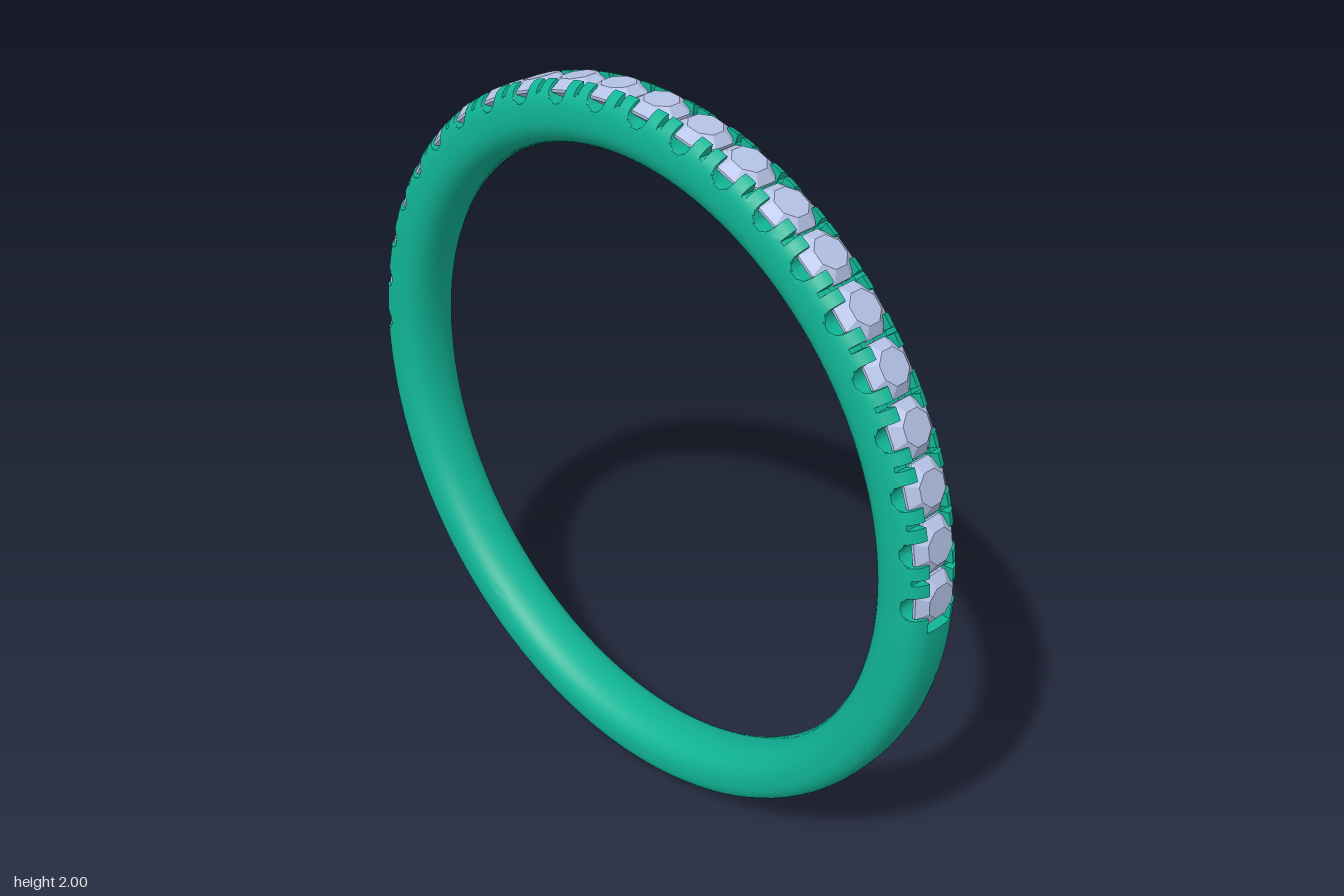
import * as THREE from 'three';
import { toCreasedNormals } from 'three/addons/utils/BufferGeometryUtils.js';

const GEMS = 22;
const PITCH = THREE.MathUtils.degToRad(8.34);
const LIMIT = (GEMS / 2) * PITCH;   // half angle of the set part, from the top
const HALF_WIDTH = 0.088;
const CHANNEL = 0.04;               // half width of the slot the stones sit in
const SCALLOP = 0.031;              // radius of the side cutouts
const GROOVE = 0.006;               // half width of the slit between prongs

// Angles of the cross-sections: fine around each stone, even on the plain part
function sectionAngles() {
  const half = [];
  for (let k = 0; k <= 5; k++) half.push(SCALLOP * Math.sin((k / 5) * Math.PI / 2));
  half.push(SCALLOP + 0.0008, 0.05, PITCH / 2 - GROOVE - 0.001, PITCH / 2 - GROOVE);
  const offsets = [-PITCH / 2, ...half.slice(1).reverse().map(t => -t), ...half];
  const angles = [];
  for (let g = 0; g < GEMS; g++) {
    const centre = (g - (GEMS - 1) / 2) * PITCH;
    for (const t of offsets) angles.push(centre + t);
  }
  angles.push(LIMIT);
  const start = LIMIT + 0.001, span = 2 * Math.PI - 2 * start;
  for (let k = 0; k <= 72; k++) angles.push(start + (span * k) / 72);
  return angles;
}

// Height to which the outside of the band is cut down
function cutHeight(a, z) {
  if (Math.abs(a) > LIMIT + 1e-6) return 2;
  if (Math.abs(z) < CHANNEL) return 0.93;
  const cell = a / PITCH + GEMS / 2;
  const t = (cell - Math.floor(cell) - 0.5) * PITCH;
  if (Math.abs(t) <= SCALLOP + 1e-5) {
    return 0.978 - Math.sqrt(Math.max(0, SCALLOP * SCALLOP - t * t));
  }
  const nearMiddle = PITCH / 2 - Math.abs(t) <= GROOVE + 1e-5;
  return nearMiddle && Math.abs(a) < LIMIT - 0.02 ? 0.972 : 2;
}

// Rounded band, swept round the finger hole
function bandGeometry() {
  const side = [0.088, 0.0875, 0.086, 0.083, 0.078, 0.071, 0.062, 0.052];
  const outer = [...side, CHANNEL + 0.001, CHANNEL - 0.001, 0.02];
  const inner = [0.0875, 0.086, 0.083, 0.078, 0.071, 0.062, 0.052, 0.036, 0.018];
  const mirror = list => [...list, 0, ...list.slice().reverse().map(z => -z)];
  const section = [
    ...mirror(outer).map(z => ({ z, outside: true })),
    ...mirror(inner).reverse().map(z => ({ z, outside: false })),
  ];
  const bulge = (z, n) => Math.pow(Math.max(0, 1 - Math.pow(Math.abs(z) / HALF_WIDTH, n)), 1 / n);

  const angles = sectionAngles();
  const positions = [], index = [];
  const rows = angles.length, cols = section.length;
  for (const a of angles) {
    const inside = 0.842 - 0.012 * Math.cos(a);
    const middle = (1 + inside) / 2;
    for (const { z, outside } of section) {
      const r = outside
        ? Math.min(middle + (1 - middle) * bulge(z, 2.8), cutHeight(a, z))
        : middle - (middle - inside) * bulge(z, 2.3);
      positions.push(r * Math.sin(a), 1 + r * Math.cos(a), z);
    }
  }
  for (let i = 0; i < rows; i++) {
    for (let j = 0; j < cols; j++) {
      const i2 = (i + 1) % rows, j2 = (j + 1) % cols;
      const p = i * cols + j, q = i2 * cols + j, s = i2 * cols + j2, t = i * cols + j2;
      index.push(p, q, s, p, s, t);
    }
  }
  const geometry = new THREE.BufferGeometry();
  geometry.setAttribute('position', new THREE.Float32BufferAttribute(positions, 3));
  geometry.setIndex(index);
  return toCreasedNormals(geometry, THREE.MathUtils.degToRad(35));
}

// Faceted stone: point, girdle, crown and flat table
function gemGeometry() {
  const profile = [[0, -0.055], [0.073, -0.004], [0.073, 0.003], [0.045, 0.024], [0, 0.024]]
    .map(([x, y]) => new THREE.Vector2(x, y));
  return new THREE.LatheGeometry(profile, 8, Math.PI / 8);
}

export function createModel() {
  const model = new THREE.Group();
  model.name = 'ring';

  const bandMaterial = new THREE.MeshStandardMaterial({ color: 0x10b596 });
  const gemMaterial = new THREE.MeshStandardMaterial({ color: 0xb4c2e6, flatShading: true });

  const band = new THREE.Mesh(bandGeometry(), bandMaterial);
  band.name = 'band';
  model.add(band);

  // Row of stones over the upper half
  const gems = new THREE.Group();
  gems.name = 'gems';
  const geometry = gemGeometry();
  for (let g = 0; g < GEMS; g++) {
    const a = (g - (GEMS - 1) / 2) * PITCH;
    const gem = new THREE.Mesh(geometry, gemMaterial);
    gem.name = 'gem';
    gem.position.set(0.973 * Math.sin(a), 1 + 0.973 * Math.cos(a), 0);
    gem.rotation.z = -a;
    gems.add(gem);
  }
  model.add(gems);
  return model;
}
